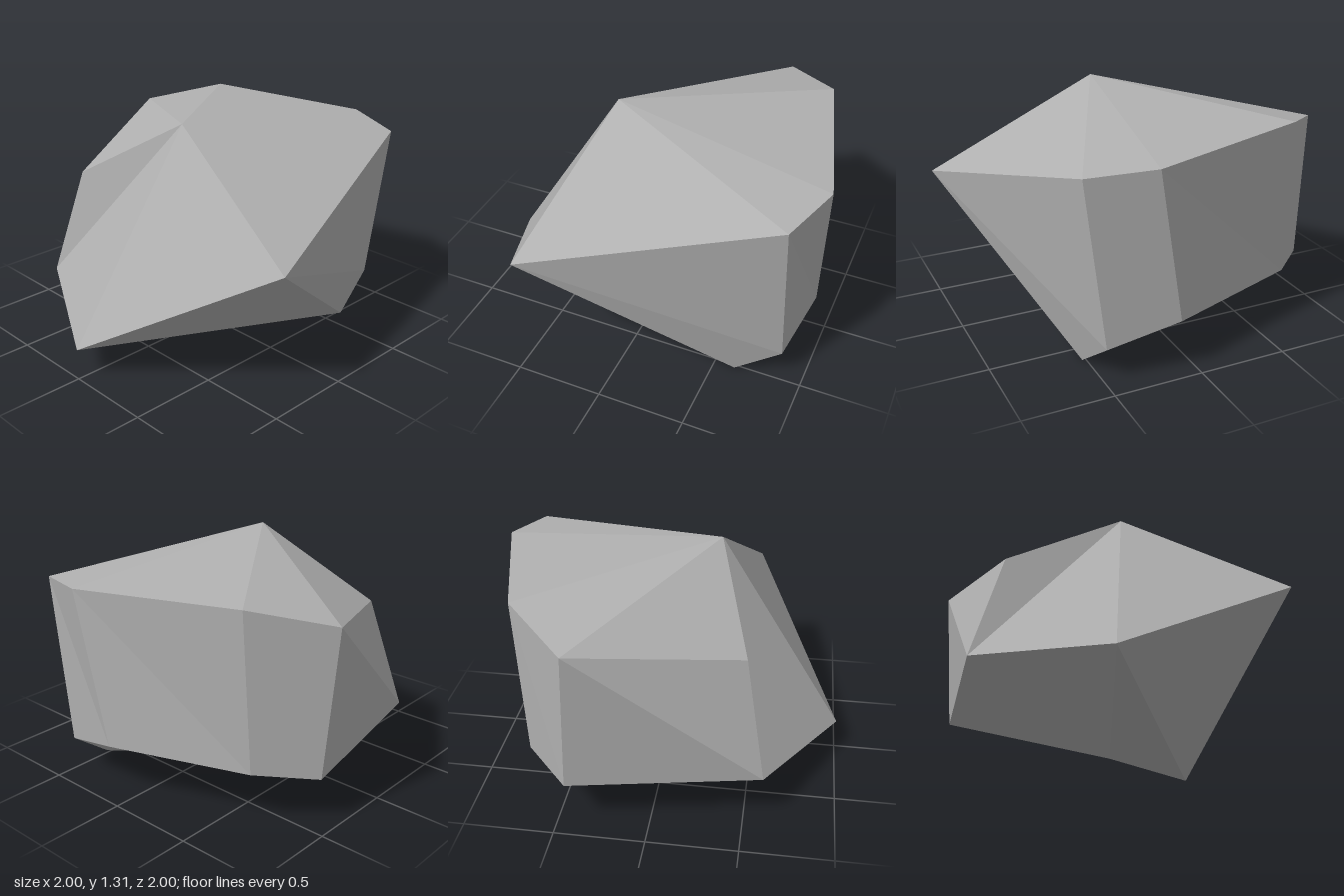
import * as THREE from 'three';

// Corners of the faceted boulder
const corners = {
  // top and upper rim
  peak: [-0.28, 1.31, 0.07],
  frontTip: [-0.47, 0.79, 1.0],
  rimA: [0.88, 1.14, 0.61],
  rimB: [1.0, 1.175, 0.26],
  rimC: [0.74, 1.21, -0.67],
  rimD: [0.4, 1.11, -1.0],
  rimE: [-0.48, 0.92, -0.58],
  // lower rim
  sideTip: [-1.0, 0.18, 0.0],
  lowE: [-0.6, 0.28, -0.74],
  lowD: [0.44, 0.28, -0.94],
  lowC: [0.69, 0.315, -0.68],
  lowB: [0.95, 0.305, 0.1],
  lowA: [0.88, 0.195, 0.49],
  // underside
  foot: [0.62, 0, 0.52],
  keel: [0.32, 0.04, 0.03],
};

// Flat facets, each a convex loop of corners
const facets = [
  // top
  'peak frontTip rimA', 'peak rimA rimB', 'peak rimB rimC rimD', 'peak rimD rimE',
  // sides
  'peak rimE lowE sideTip', 'peak sideTip frontTip', 'frontTip sideTip foot',
  'frontTip foot lowA rimA', 'rimA lowA lowB rimB', 'rimB lowB lowC rimC',
  'rimC lowC lowD rimD', 'rimD lowD lowE', 'rimD lowE rimE',
  // underside
  'keel foot sideTip', 'keel sideTip lowE lowD', 'keel lowD lowC lowB', 'keel lowB lowA foot',
];

// Fan each facet into triangles that face away from the middle of the stone
function facetGeometry() {
  const middle = new THREE.Vector3(0.1, 0.65, 0);
  const positions = [];
  for (const facet of facets) {
    const loop = facet.split(' ').map((name) => new THREE.Vector3(...corners[name]));
    for (let i = 1; i < loop.length - 1; i++) {
      const tri = new THREE.Triangle(loop[0], loop[i], loop[i + 1]);
      const outward = tri.getNormal(new THREE.Vector3()).dot(loop[0].clone().sub(middle)) > 0;
      const order = outward ? [tri.a, tri.b, tri.c] : [tri.a, tri.c, tri.b];
      for (const p of order) positions.push(p.x, p.y, p.z);
    }
  }
  const geometry = new THREE.BufferGeometry();
  geometry.setAttribute('position', new THREE.Float32BufferAttribute(positions, 3));
  geometry.computeVertexNormals(); // unshared corners keep every facet flat
  return geometry;
}

export function createModel() {
  const stoneGrey = new THREE.MeshStandardMaterial({ color: 0xb0b0b0 });
  stoneGrey.name = 'stone grey';

  const rock = new THREE.Mesh(facetGeometry(), stoneGrey);
  rock.name = 'rock';

  const group = new THREE.Group();
  group.name = 'boulder';
  group.add(rock);
  return group;
}
